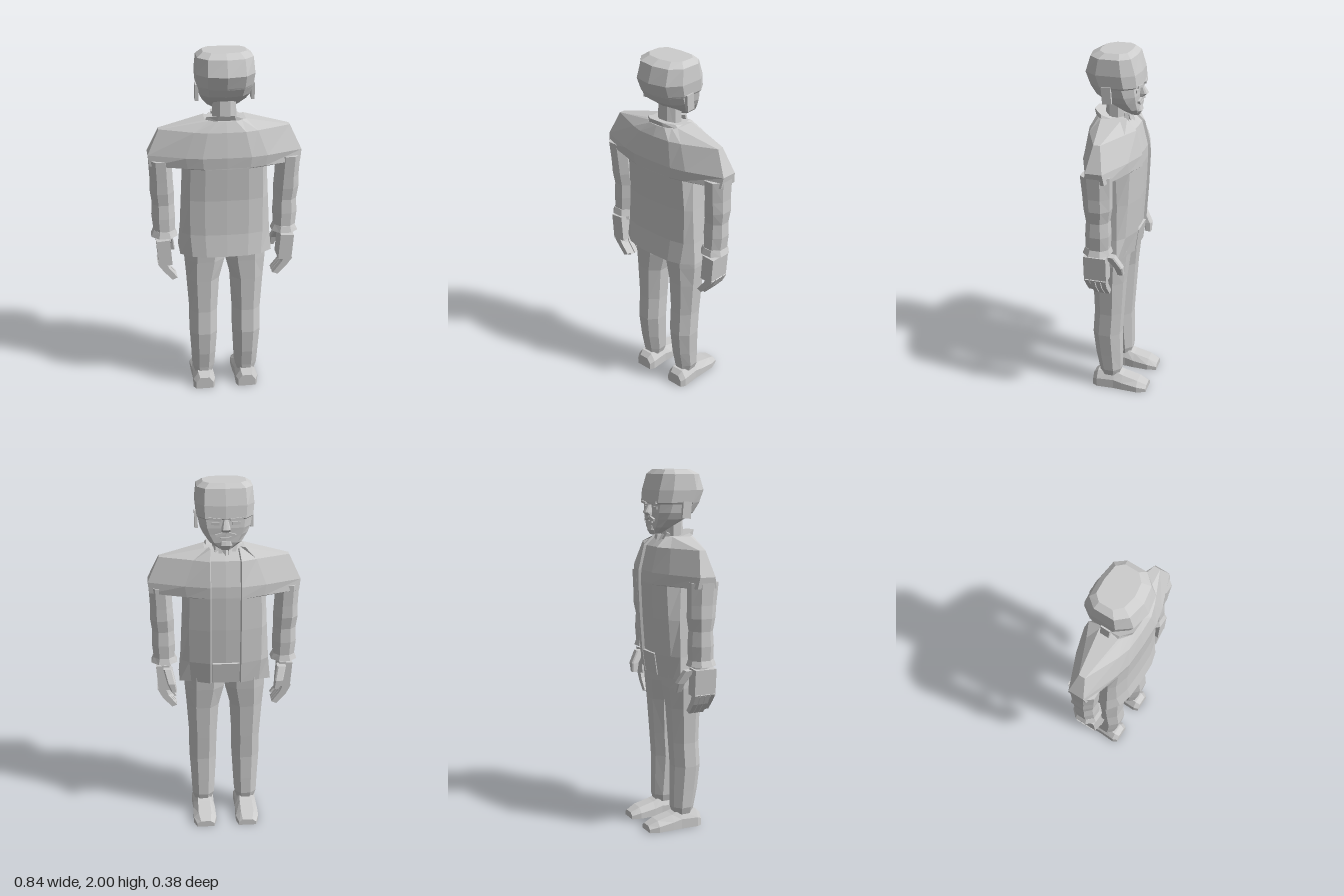
import * as THREE from 'three';

const cloth = new THREE.MeshStandardMaterial({ color: 0xcccccc, flatShading: true });
cloth.name = 'plain grey';

// Joins rings of [x, y, z] points into a closed, faceted solid facing outwards
function loft(name, rings) {
  const tris = [];
  const n = rings[0].length;
  for (let r = 0; r < rings.length - 1; r++) {
    for (let i = 0; i < n; i++) {
      const j = (i + 1) % n;
      const [a, b, c, d] = [rings[r][i], rings[r][j], rings[r + 1][j], rings[r + 1][i]];
      tris.push([a, b, c], [a, c, d]);
    }
  }
  [rings[0], rings[rings.length - 1]].forEach((ring, end) => {
    const mid = [0, 1, 2].map(k => ring.reduce((s, p) => s + p[k], 0) / n);
    for (let i = 0; i < n; i++) {
      const p = ring[i], q = ring[(i + 1) % n];
      tris.push(end ? [p, q, mid] : [q, p, mid]);
    }
  });
  let volume = 0;
  const [u, v, w] = [0, 0, 0].map(() => new THREE.Vector3());
  for (const t of tris) volume += u.set(...t[0]).dot(v.set(...t[1]).cross(w.set(...t[2])));
  if (volume < 0) tris.forEach(t => t.reverse());
  const geo = new THREE.BufferGeometry();
  geo.setAttribute('position', new THREE.Float32BufferAttribute(tris.flat(2), 3));
  geo.computeVertexNormals();
  const mesh = new THREE.Mesh(geo, cloth);
  mesh.name = name;
  return mesh;
}

// Bevelled rectangle at height y, between x0..x1 and z0..z1
function oct(y, x0, x1, z0, z1, k = 0.28, tilt = 0) {
  const dx = (x1 - x0) * k, dz = (z1 - z0) * k;
  return [[x0 + dx, z0], [x1 - dx, z0], [x1, z0 + dz], [x1, z1 - dz],
    [x1 - dx, z1], [x0 + dx, z1], [x0, z1 - dz], [x0, z0 + dz]]
    .map(([x, z]) => [x, y + z * tilt, z]);
}

// Completes a half outline of [x, z] across x = 0
function mirrorRing(y, half) {
  const other = half.slice(1, -1).reverse().map(([x, z]) => [-x, z]);
  return [...half, ...other].map(([x, z]) => [x, y, z]);
}

function box(name, size, pos, rot = [0, 0, 0]) {
  const mesh = new THREE.Mesh(new THREE.BoxGeometry(...size), cloth);
  mesh.name = name;
  mesh.position.set(...pos);
  mesh.rotation.set(...rot);
  return mesh;
}

function jacketRing([y, w, h, a, zb, zf]) {
  const e = Math.min(0.085, a * 0.9);
  return mirrorRing(y, [[0, zb], [a * 0.6, zb - 0.004], [a, zb - 0.025], [w, 0.03 + h],
    [w, 0.03 - h], [a, zf + 0.04], [e, zf], [e - 0.006, zf + 0.014], [0, zf + 0.01]]);
}

function headRing([y, w, zb, zf]) {
  const d = zb - zf;
  return mirrorRing(y, [[0, zb], [w * 0.65, zb - d * 0.07], [w, zb - d * 0.3],
    [w, zf + d * 0.25], [w * 0.72, zf + d * 0.04], [0, zf]]);
}

function buildHead() {
  const head = new THREE.Group();
  head.name = 'head';
  head.add(loft('skull', [
    [1.655, 0.035, -0.05, -0.095], [1.69, 0.085, 0.0, -0.105], [1.735, 0.118, 0.08, -0.106],
    [1.77, 0.135, 0.13, -0.108], [1.815, 0.144, 0.16, -0.104], [1.825, 0.15, 0.165, -0.122],
    [1.89, 0.156, 0.19, -0.115], [1.975, 0.148, 0.16, -0.088], [2.0, 0.115, 0.11, -0.06],
  ].map(headRing)));
  // Nose
  head.add(loft('nose', [
    [1.752, 0.024, -0.09, -0.12], [1.77, 0.024, -0.09, -0.145], [1.82, 0.011, -0.09, -0.115],
  ].map(headRing)));
  // Goatee and lower lip
  head.add(loft('goatee', [
    [1.65, 0.025, -0.06, -0.1], [1.675, 0.035, -0.06, -0.115], [1.7, 0.03, -0.07, -0.108],
  ].map(headRing)));
  head.add(box('lowerLip', [0.06, 0.01, 0.02], [0, 1.718, -0.103]));
  for (const s of [-1, 1]) {
    head.add(box('ear', [0.018, 0.09, 0.05], [s * 0.15, 1.785, 0.04], [0.08, 0, 0]));
    head.add(box('eye', [0.045, 0.016, 0.009], [s * 0.055, 1.796, -0.103], [0, s * -0.12, 0]));
    head.add(box('eyebrow', [0.07, 0.013, 0.014], [s * 0.057, 1.822, -0.115], [0, s * -0.12, s * 0.1]));
    head.add(box('moustache', [0.055, 0.014, 0.016], [s * 0.028, 1.738, -0.107], [0, 0, s * -0.3]));
  }
  return head;
}

function buildLeg(s) {
  const leg = new THREE.Group();
  leg.name = s > 0 ? 'leftLeg' : 'rightLeg';
  leg.add(loft('trouserLeg', [
    [0.08, 0.075, 0.175, -0.025, 0.085], [0.12, 0.062, 0.188, -0.035, 0.09],
    [0.22, 0.056, 0.193, -0.035, 0.11], [0.36, 0.048, 0.202, -0.032, 0.125],
    [0.5, 0.046, 0.202, -0.042, 0.115], [0.7, 0.034, 0.215, -0.055, 0.12],
    [0.82, 0.003, 0.225, -0.068, 0.125], [0.9, 0.0, 0.225, -0.075, 0.13],
  ].map(([y, x0, x1, z0, z1]) => oct(y, s * x0, s * x1, z0, z1))));
  // Shoe: sections run from heel to toe
  const shoe = [[0.127, 0.075, 0.175, 0.07], [0.1, 0.062, 0.19, 0.095], [0.0, 0.065, 0.185, 0.1],
    [-0.05, 0.06, 0.188, 0.082], [-0.14, 0.058, 0.19, 0.06], [-0.193, 0.072, 0.172, 0.035]];
  leg.add(loft('shoe', shoe.map(([z, x0, x1, h]) => {
    const dx = (x1 - x0) * 0.22;
    return [[x0, 0], [x1, 0], [x1, h * 0.55], [x1 - dx, h], [x0 + dx, h], [x0, h * 0.55]]
      .map(([x, y]) => [s * x, y, z]);
  })));
  return leg;
}

function buildArm(s) {
  const arm = new THREE.Group();
  arm.name = s > 0 ? 'leftArm' : 'rightArm';
  const tube = (name, rows) => loft(name,
    rows.map(([y, x0, x1, z0, z1]) => oct(y, s * x0, s * x1, z0, z1)));
  arm.add(tube('sleeve', [
    [0.99, 0.28, 0.395, -0.03, 0.095], [1.08, 0.276, 0.404, -0.035, 0.095],
    [1.16, 0.28, 0.4, -0.03, 0.09], [1.23, 0.28, 0.41, -0.042, 0.1],
    [1.3, 0.285, 0.408, -0.042, 0.105], [1.42, 0.29, 0.414, -0.045, 0.115],
  ]));
  arm.add(tube('cuff', [[0.97, 0.265, 0.41, -0.04, 0.11], [1.005, 0.28, 0.395, -0.03, 0.098]]));
  arm.add(tube('wrist', [[0.93, 0.3, 0.37, -0.01, 0.08], [0.985, 0.3, 0.37, -0.01, 0.08]]));
  arm.add(box('palm', [0.075, 0.15, 0.125], [s * 0.342, 0.88, 0.042], [0, 0, s * -0.08]));
  // Four fingers curling towards the body
  for (let i = 0; i < 4; i++) {
    const z = 0.088 - i * 0.031, drop = i === 0 ? 0.015 : 0;
    const finger = [[0.36, 0.82], [0.335, 0.765 + drop], [0.285, 0.705 + drop]];
    arm.add(loft('finger', finger.map(([x, y], k) => {
      const t = 0.02 - k * 0.003;
      return [[x - t, y + t * 0.4, z - 0.013], [x + t, y - t * 0.4, z - 0.013],
        [x + t, y - t * 0.4, z + 0.013], [x - t, y + t * 0.4, z + 0.013]]
        .map(([px, py, pz]) => [s * px, py, pz]);
    })));
  }
  arm.add(loft('thumb', [
    [0.825, 0.272, 0.302, -0.095, -0.062], [0.875, 0.278, 0.325, -0.095, -0.05],
    [0.945, 0.295, 0.345, -0.055, 0.0],
  ].map(([y, x0, x1, z0, z1]) => oct(y, s * x0, s * x1, z0, z1, 0.15))));
  return arm;
}

export function createModel() {
  const model = new THREE.Group();
  model.name = 'standingMan';

  // Jacket with a recessed shirt strip down the front
  model.add(loft('jacket', [
    [0.875, 0.255, 0.075, 0.19, 0.178, -0.1], [1.0, 0.243, 0.07, 0.2, 0.162, -0.118],
    [1.2, 0.233, 0.07, 0.2, 0.158, -0.132], [1.385, 0.225, 0.06, 0.195, 0.17, -0.14],
    [1.39, 0.41, 0.055, 0.21, 0.17, -0.14], [1.45, 0.418, 0.045, 0.22, 0.175, -0.138],
    [1.585, 0.355, 0.018, 0.17, 0.155, -0.105], [1.64, 0.11, 0.055, 0.085, 0.13, -0.05],
  ].map(jacketRing)));
  model.add(box('waistPanel', [0.15, 0.12, 0.016], [0, 0.94, -0.102], [-0.14, 0, 0]));

  // Collar rises towards the nape
  model.add(loft('collar', [oct(1.605, -0.115, 0.115, -0.05, 0.13, 0.28, 0.3),
    oct(1.63, -0.095, 0.095, -0.045, 0.14, 0.28, 0.3)]));
  model.add(loft('neck', [oct(1.58, -0.065, 0.065, -0.03, 0.085),
    oct(1.78, -0.06, 0.06, -0.02, 0.075)]));
  // Ruffled neckcloth under the chin
  for (let i = 0; i < 5; i++) {
    const x = (i - 2) * 0.024;
    model.add(box('neckcloth', [0.022, 0.08, 0.022],
      [x, 1.6 + Math.abs(x) * 0.5, -0.06 + Math.abs(x) * 0.4], [0.4, i * 0.5, x * -6]));
  }
  model.add(buildHead());
  for (const s of [-1, 1]) model.add(buildArm(s), buildLeg(s));
  return model;
}
